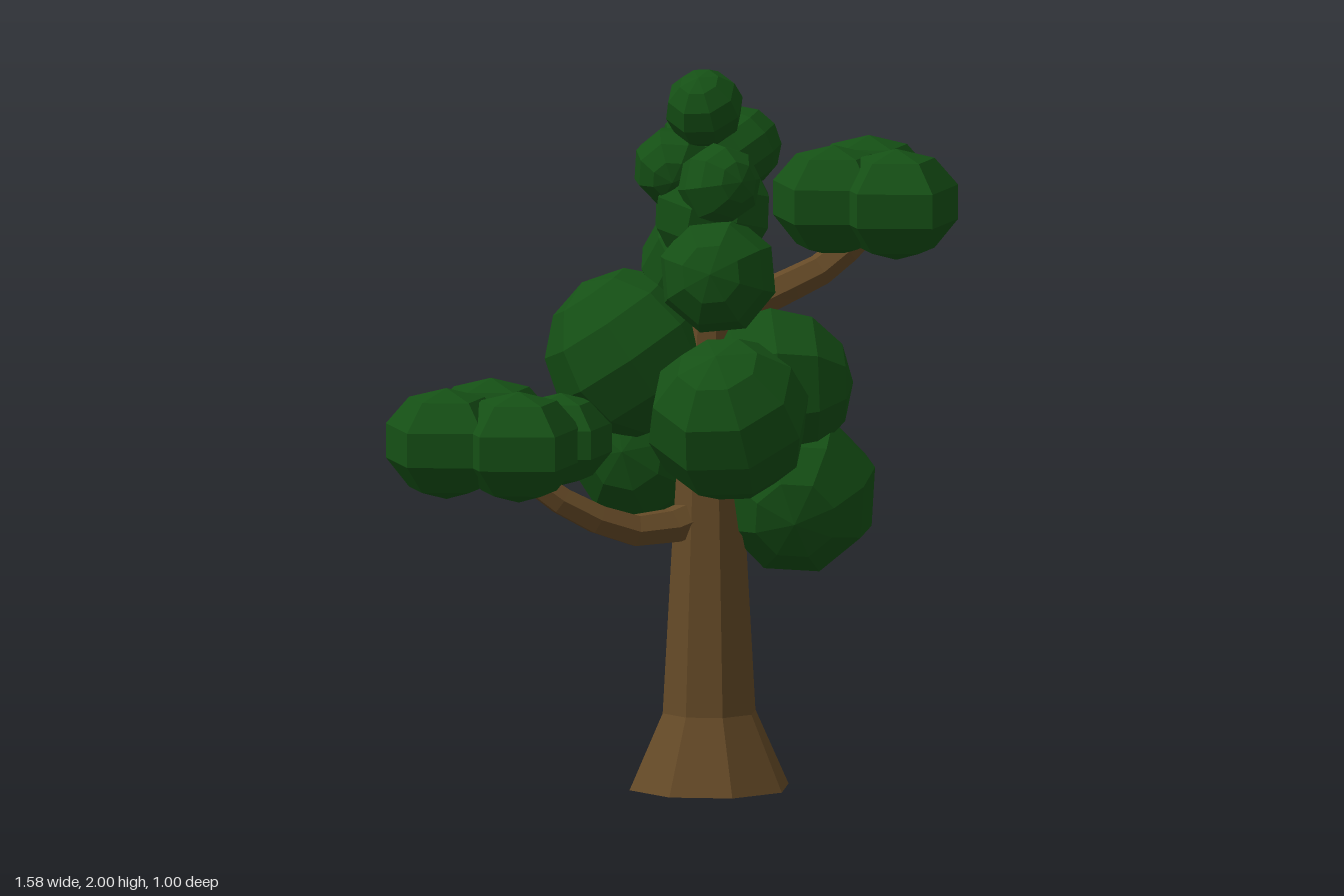
import * as THREE from 'three';

const bark = new THREE.MeshStandardMaterial({ color: 0x654a27, flatShading: true });
const leaf = new THREE.MeshStandardMaterial({ color: 0x155015, flatShading: true });

const AXIS_X = 0.105, AXIS_Z = 0.08;

// Tapered, faceted branch along a curve
function branch(name, points, r0, r1) {
  const curve = new THREE.CatmullRomCurve3(points.map(p => new THREE.Vector3(...p)));
  const rings = 6, sides = 6;
  const geo = new THREE.TubeGeometry(curve, rings, 1, sides, false);
  const pos = geo.attributes.position, v = new THREE.Vector3();
  for (let i = 0; i < pos.count; i++) {
    const t = Math.floor(i / (sides + 1)) / rings;
    const centre = curve.getPointAt(t);
    v.fromBufferAttribute(pos, i).sub(centre)
      .multiplyScalar(THREE.MathUtils.lerp(r0, r1, t)).add(centre);
    pos.setXYZ(i, v.x, v.y, v.z);
  }
  const mesh = new THREE.Mesh(geo, bark);
  mesh.name = name;
  return mesh;
}

// Group of faceted round leaf clumps: [x, y, z, radius]
function clumps(name, list, makeGeometry, tilt) {
  const group = new THREE.Group();
  group.name = name;
  list.forEach(([x, y, z, r], i) => {
    const mesh = new THREE.Mesh(makeGeometry(r), leaf);
    mesh.name = 'leafClump';
    mesh.position.set(x, y, z);
    if (tilt) mesh.rotation.set(0.5 + i * 0.7, i * 1.1, 0.3 + i * 0.4);
    group.add(mesh);
  });
  return group;
}

export function createModel() {
  const tree = new THREE.Group();
  tree.name = 'tree';

  // Eight-sided trunk with flared foot
  const profile = [[0, 0], [0.228, 0], [0.133, 0.21], [0.108, 0.65], [0.08, 1.1], [0.05, 1.5], [0, 1.52]];
  const trunk = new THREE.Mesh(
    new THREE.LatheGeometry(profile.map(p => new THREE.Vector2(...p)), 8), bark);
  trunk.name = 'trunk';
  trunk.position.set(AXIS_X, 0, AXIS_Z);
  tree.add(trunk);

  // Side branches
  tree.add(branch('lowerBranch',
    [[0.1, 0.77, 0.09], [-0.08, 0.725, 0.12], [-0.25, 0.775, 0.13], [-0.4, 0.87, 0.11], [-0.5, 0.97, 0.08]], 0.055, 0.035));
  tree.add(branch('upperBranch',
    [[0.1, 1.27, 0.08], [0.26, 1.355, 0.08], [0.44, 1.435, 0.08], [0.56, 1.54, 0.08]], 0.055, 0.04));

  // Large clumps around the trunk
  const round = r => new THREE.SphereGeometry(r, 8, 6);
  tree.add(clumps('crown', [
    [0.105, 1.05, 0.27, 0.23],
    [0.355, 0.81, 0.08, 0.23],
    [-0.09, 1.2, -0.03, 0.235],
    [0.28, 1.11, 0.08, 0.23],
    [0.24, 1.01, -0.28, 0.225],
    [0.0, 0.92, -0.2, 0.225],
    [0.1, 1.44, 0.185, 0.167],
    [0.1, 1.45, -0.01, 0.16],
    [0.12, 1.6, 0.06, 0.17],
  ], round, true));

  // Small clumps at the top
  tree.add(clumps('crownTop', [
    [0.09, 1.89, 0.085, 0.11],
    [0.02, 1.72, 0.02, 0.113],
    [0.21, 1.77, 0.03, 0.113],
    [0.13, 1.77, -0.085, 0.11],
    [0.105, 1.69, 0.18, 0.115],
  ], round, true));

  // Five-sided, slightly flattened clumps at the branch tips
  const fiveSided = r => new THREE.SphereGeometry(r, 5, 5).rotateY(Math.PI).scale(1, 0.83, 1);
  tree.add(clumps('lowerBranchLeaves', [
    [-0.473, 0.985, -0.08, 0.186],
    [-0.473, 0.985, 0.19, 0.186],
    [-0.645, 0.985, 0.07, 0.186],
    [-0.32, 0.985, 0.08, 0.155],
  ], fiveSided));
  tree.add(clumps('upperBranchLeaves', [
    [0.61, 1.615, -0.08, 0.186],
    [0.61, 1.615, 0.19, 0.186],
    [0.465, 1.615, 0.07, 0.186],
  ], fiveSided));

  return tree;
}
